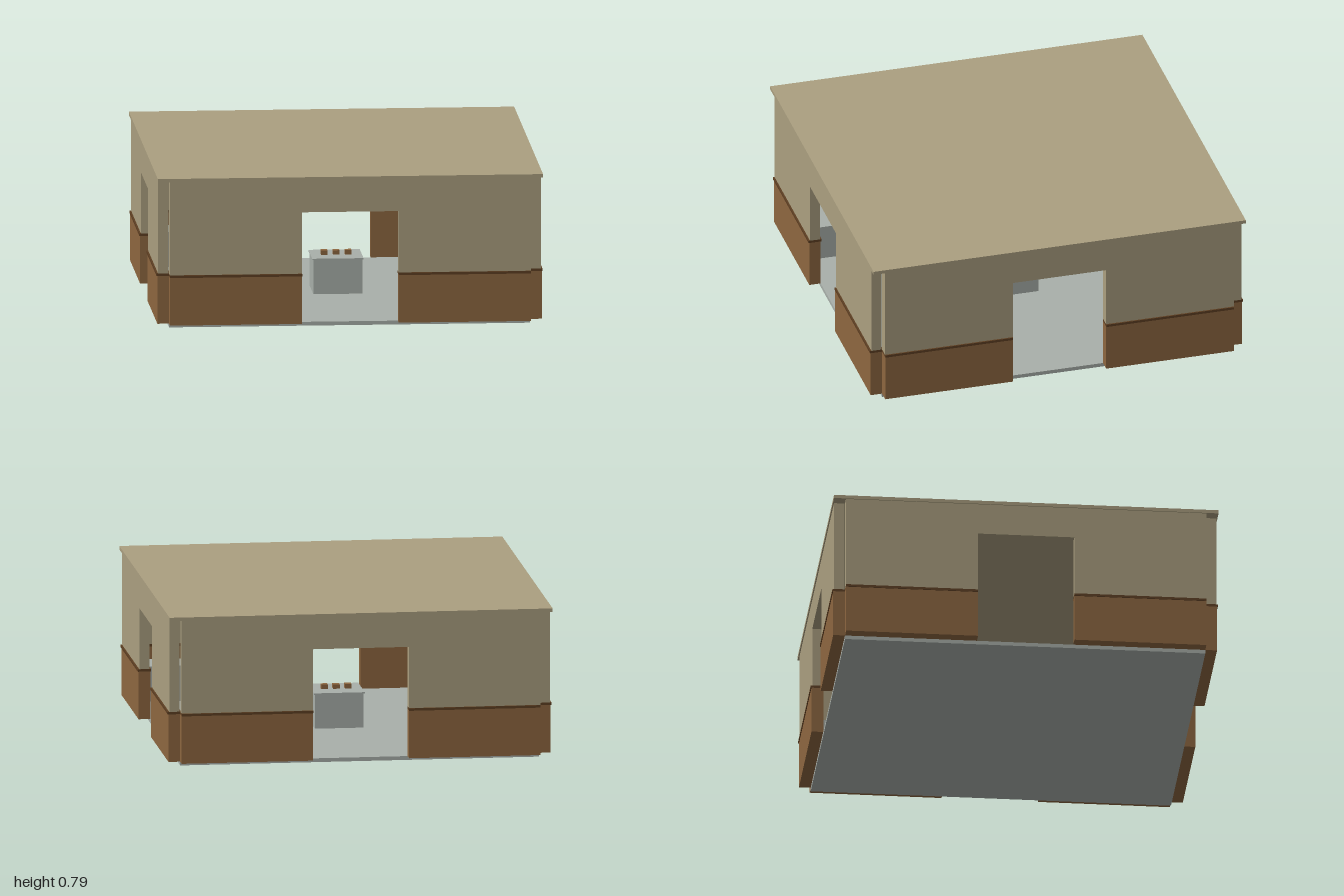
import * as THREE from 'three';

export function createModel() {
  const mat = (name, color) => {
    const m = new THREE.MeshStandardMaterial({ color });
    m.name = name;
    return m;
  };
  const plaster = mat('plaster', 0xab9f80);
  const wood = mat('wood', 0x8e6740);
  const darkWood = mat('darkWood', 0x5e3f22);
  const grey = mat('paleGrey', 0xa9b0aa);

  // Box given by its minimum and maximum corners
  const box = (parent, name, material, [x0, y0, z0], [x1, y1, z1]) => {
    const mesh = new THREE.Mesh(new THREE.BoxGeometry(x1 - x0, y1 - y0, z1 - z0), material);
    mesh.position.set((x0 + x1) / 2, (y0 + y1) / 2, (z0 + z1) / 2);
    mesh.name = name;
    parent.add(mesh);
    return mesh;
  };

  const model = new THREE.Group();
  model.name = 'room';
  const inner = 0.935, door = 0.25, floorTop = 0.02, ceiling = 0.772;

  // Floor and roof slabs
  box(model, 'floor', grey, [-inner, 0, -inner], [inner, floorTop, inner]);
  box(model, 'roof', plaster, [-0.998, ceiling, -0.998], [0.998, 0.79, 0.998]);

  // Four equal walls, each with a central doorway, leaving open corner notches
  for (let i = 0; i < 4; i++) {
    const wall = new THREE.Group();
    wall.name = 'wall' + (i + 1);
    wall.rotation.y = i * Math.PI / 2;
    for (const side of [-1, 1]) {
      const [a, b] = side < 0 ? [-inner, -door] : [door, inner];
      box(wall, 'wainscot', wood, [a, floorTop, 0.935], [b, 0.27, 0.996]);
      box(wall, 'railTrim', darkWood, [a, 0.27, 0.93], [b, 0.283, 1]);
      box(wall, 'upperWall', plaster, [a, 0.283, 0.938], [b, ceiling, 0.992]);
    }
    box(wall, 'lintel', plaster, [-door, 0.605, 0.938], [door, ceiling, 0.992]);
    model.add(wall);
  }

  // Central pedestal with three small blocks on top
  const pedestal = new THREE.Group();
  pedestal.name = 'pedestal';
  box(pedestal, 'pedestalBody', grey, [-0.127, floorTop, -0.127], [0.127, 0.2, 0.127]);
  box(pedestal, 'pedestalTop', grey, [-0.133, 0.2, -0.133], [0.133, 0.207, 0.133]);
  for (const x of [-0.062, 0, 0.062]) {
    box(pedestal, 'smallBlock', wood, [x - 0.017, 0.207, -0.02], [x + 0.017, 0.23, 0.02]);
  }
  model.add(pedestal);

  // Low cabinets in the corners
  for (const sx of [-1, 1]) for (const sz of [-1, 1]) {
    const cabinet = box(model, 'cornerCabinet', grey, [0.5, floorTop, 0.725], [0.925, 0.205, 0.925]);
    cabinet.position.x *= sx;
    cabinet.position.z *= sz;
  }

  return model;
}
